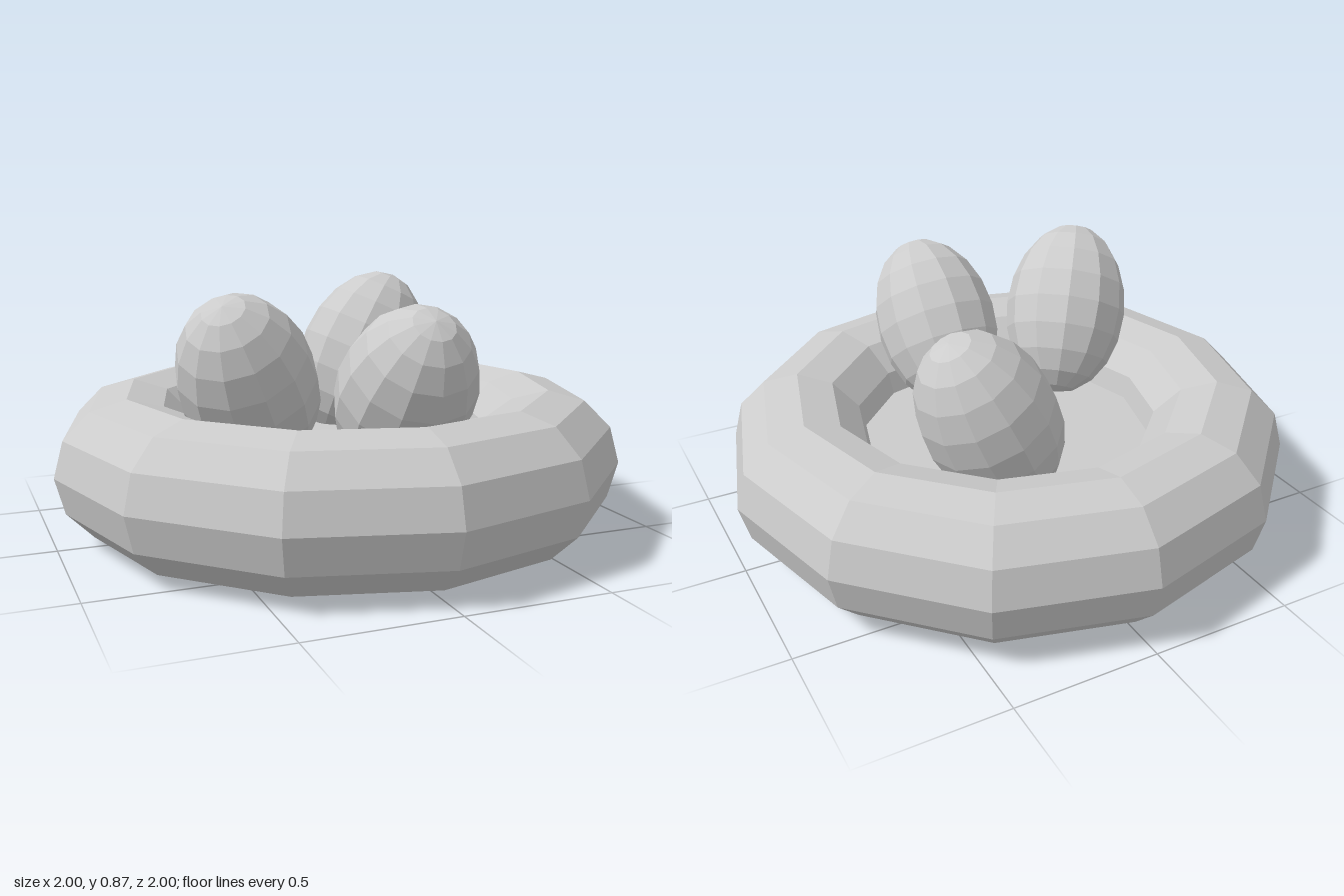
import * as THREE from 'three';

const material = new THREE.MeshStandardMaterial({ color: 0xcccccc, flatShading: true });

function addPart(parent, name, geometry) {
  const mesh = new THREE.Mesh(geometry, material);
  mesh.name = name;
  parent.add(mesh);
  return mesh;
}

export function createModel() {
  const model = new THREE.Group();
  model.name = 'nestWithEggs';

  // Faceted ring of the nest
  const ring = addPart(model, 'nestRing', new THREE.TorusGeometry(0.75, 0.25, 12, 12));
  ring.rotation.x = -Math.PI / 2;
  ring.position.y = 0.25;

  // Thin floor, its rim buried inside the ring
  const floor = addPart(model, 'nestFloor', new THREE.CylinderGeometry(0.6, 0.6, 0.09, 12));
  floor.position.y = 0.25;

  // Eggs leaning outward: centre, and sideways lean of the long axis in x and z
  const eggs = [
    { at: [-0.41, 0.58, 0.28], lean: [-0.38, 0.45] },
    { at: [0.06, 0.55, 0.46], lean: [0, 0.64] },
    { at: [0.23, 0.557, -0.33], lean: [0.43, 0] },
  ];
  const up = new THREE.Vector3(0, 1, 0);
  const eggGeometry = new THREE.SphereGeometry(1, 12, 10).scale(0.228, 0.33, 0.228);
  eggs.forEach(({ at, lean: [x, z] }, i) => {
    const egg = addPart(model, `egg${i + 1}`, eggGeometry);
    egg.position.set(...at);
    const axis = new THREE.Vector3(x, Math.sqrt(1 - x * x - z * z), z);
    egg.quaternion.setFromUnitVectors(up, axis);
  });

  return model;
}
